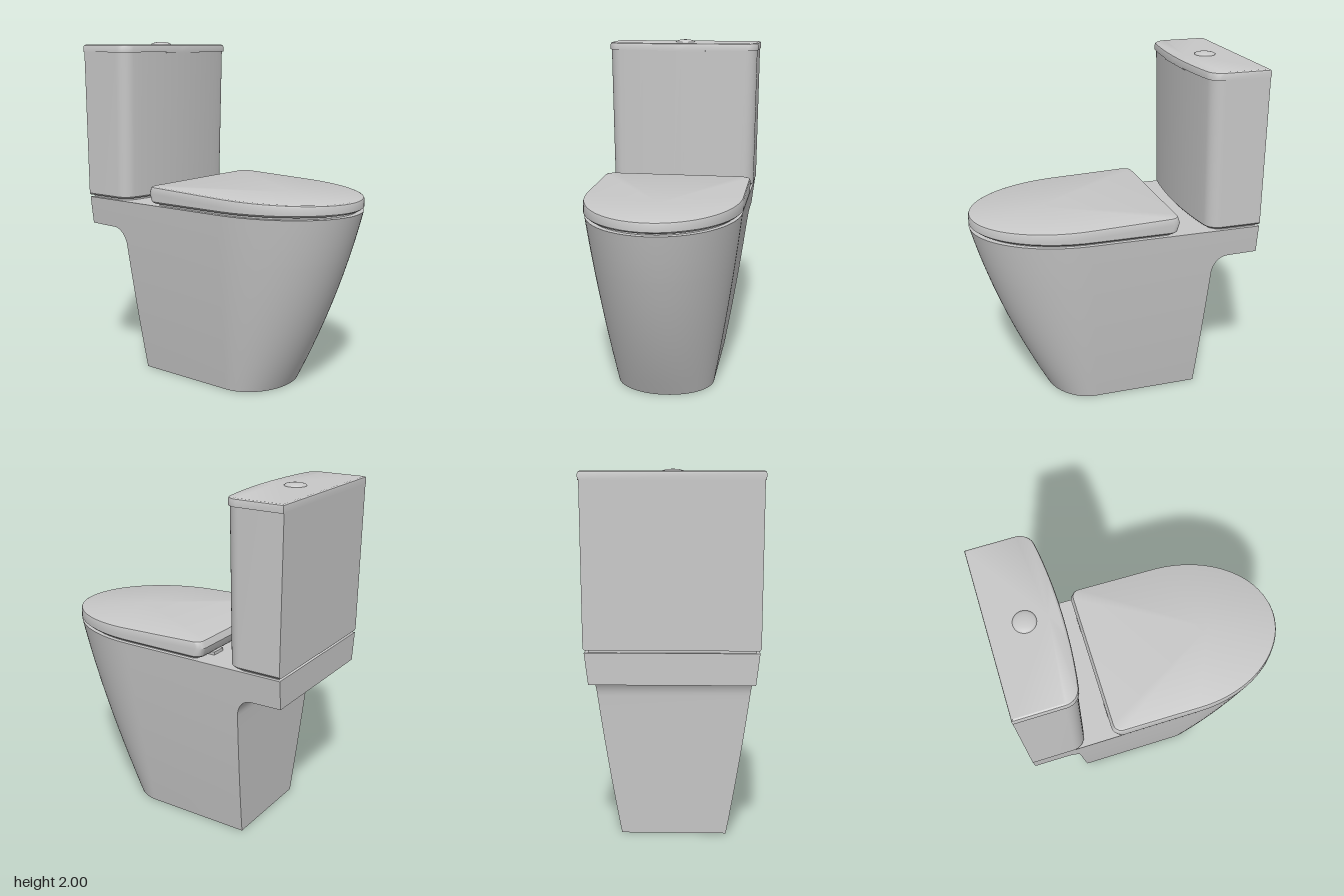
import * as THREE from 'three';
import { toCreasedNormals } from 'three/addons/utils/BufferGeometryUtils.js';

// Skin a stack of convex rings (bottom to top) and cap both ends.
function loft(rings, crease = 0.5) {
  const pos = [];
  const n = rings[0].length;
  const tri = (...pts) => pts.forEach((p) => pos.push(p.x, p.y, p.z));
  const centre = (ring) => ring.reduce((s, p) => s.add(p), new THREE.Vector3()).divideScalar(n);
  const first = rings[0], last = rings[rings.length - 1];
  const c0 = centre(first), c1 = centre(last);
  for (let i = 0; i < n; i++) {
    const j = (i + 1) % n;
    for (let k = 0; k < rings.length - 1; k++) {
      const a = rings[k], b = rings[k + 1];
      tri(a[i], b[i], a[j]);
      tri(a[j], b[i], b[j]);
    }
    tri(c0, first[i], first[j]);
    tri(c1, last[j], last[i]);
  }
  const g = new THREE.BufferGeometry();
  g.setAttribute('position', new THREE.Float32BufferAttribute(pos, 3));
  return toCreasedNormals(g, crease);
}

// Complete a right-hand half outline by mirroring; yAt gives height from z.
function mirrorRing(half, yAt) {
  const all = [...half, ...half.slice(0, -1).reverse().map(([x, z]) => [-x, z])];
  return all.map(([x, z]) => new THREE.Vector3(x, yAt(z), z));
}

// Straight sides, elliptical front and optional rounded rear corners.
function dRing(w, back, start, front, yAt, r = 0) {
  const half = [];
  if (r) {
    for (let i = 0; i <= 5; i++) {
      const a = (i / 5) * Math.PI / 2;
      half.push([w - r + r * Math.sin(a), back + r - r * Math.cos(a)]);
    }
  } else half.push([w, back]);
  for (let i = 0; i <= 24; i++) {
    const a = (i / 24) * Math.PI / 2;
    half.push([w * Math.cos(a), start + (front - start) * Math.sin(a)]);
  }
  return mirrorRing(half, yAt);
}

// Flat back, rounded front corners and a gently bowed front.
function tankRing(w, front, y, back = -0.8) {
  const r = 0.08, bow = 0.03;
  const half = [[w, back]];
  for (let i = 0; i <= 8; i++) {
    const a = (i / 8) * 1.42;
    half.push([w - r + r * Math.cos(a), front - bow - r + r * Math.sin(a)]);
  }
  const x0 = half[half.length - 1][0];
  for (let i = 1; i <= 8; i++) {
    const x = x0 * (1 - i / 8);
    half.push([x, front - bow * (x / x0) ** 2]);
  }
  return mirrorRing(half, () => y);
}

export function createModel() {
  const group = new THREE.Group();
  const ceramic = new THREE.MeshStandardMaterial({ color: 0xc8c8c8 });
  ceramic.name = 'light grey ceramic';
  const add = (name, geometry, x = 0, y = 0, z = 0) => {
    const mesh = new THREE.Mesh(geometry, ceramic);
    mesh.name = name;
    mesh.position.set(x, y, z);
    group.add(mesh);
  };

  // Pedestal bowl: flaring D sections, with a filleted shelf at the rear
  const rear = [];
  for (let i = 0; i <= 8; i++) rear.push([0.79 * i / 8, -0.497 - 0.033 * i / 8]);
  for (let i = 1; i <= 8; i++) {
    const a = (i / 8) * Math.PI / 2;
    rear.push([0.79 + 0.11 * Math.sin(a), -0.62 + 0.09 * Math.cos(a)]);
  }
  rear.push([0.904, -0.8], [0.96, -0.8], [1.02, -0.8], [1.07, -0.8]);
  add('bowl', loft(rear.map(([y, back]) => {
    const t = y / 1.07;
    const w = 0.29 + 0.16 * (1.22 * t - 0.22 * t * t);
    const front = 0.37 + 0.43 * (1.35 * t - 0.35 * t * t);
    return dRing(w, back, 0.13 + 0.07 * t, front, () => y);
  })));

  // Seat plate, set in to leave a shadow gap under the lid
  add('seat', loft([1.068, 1.09].map((y) => dRing(0.425, -0.27, 0.2, 0.765, () => y, 0.03))));

  // Lid: flat underside, sloping top, softened rim
  const top = (z) => 1.145 + (0.8 - z) * 0.033;
  const lid = [
    [0.012, -0.298, () => 1.083],
    [0, -0.308, () => 1.094],
    [0, -0.322, (z) => top(z) - 0.045 - 0.01 * z],
    [0, -0.312, (z) => top(z) - 0.014],
    [0.004, -0.308, (z) => top(z) - 0.004],
    [0.014, -0.298, top],
  ];
  add('lid', loft(lid.map(([inset, back, yAt]) =>
    dRing(0.456 - inset, back, 0.2, 0.8 - inset, yAt, 0.045))));

  // Hinges behind the lid
  for (const s of [-1, 1]) {
    add(s > 0 ? 'leftHinge' : 'rightHinge', new THREE.BoxGeometry(0.09, 0.022, 0.07), s * 0.28, 1.077, -0.285);
  }

  // Cistern: foot, slightly tapered body, and cover with softened edge
  add('cisternFoot', loft([1.065, 1.095].map((y) => tankRing(0.43, -0.475, y, -0.785))));
  add('cisternBody', loft([
    tankRing(0.448, -0.458, 1.083),
    tankRing(0.456, -0.45, 1.093),
    tankRing(0.464, -0.43, 1.945),
  ]));
  add('cisternCover', loft([
    tankRing(0.47, -0.422, 1.94),
    tankRing(0.47, -0.422, 1.97),
    tankRing(0.467, -0.425, 1.979, -0.798),
    tankRing(0.458, -0.434, 1.984, -0.79),
  ]));
  add('coverGrip', new THREE.BoxGeometry(0.3, 0.006, 0.02), 0, 1.938, -0.435);

  // Domed flush button
  const dome = [[0.06, 0], [0.06, 0.006], [0.052, 0.011], [0.035, 0.015], [0.018, 0.0175], [0, 0.018]];
  add('flushButton', new THREE.LatheGeometry(dome.map(([x, y]) => new THREE.Vector2(x, y)), 32), 0, 1.982, -0.61);

  return group;
}
